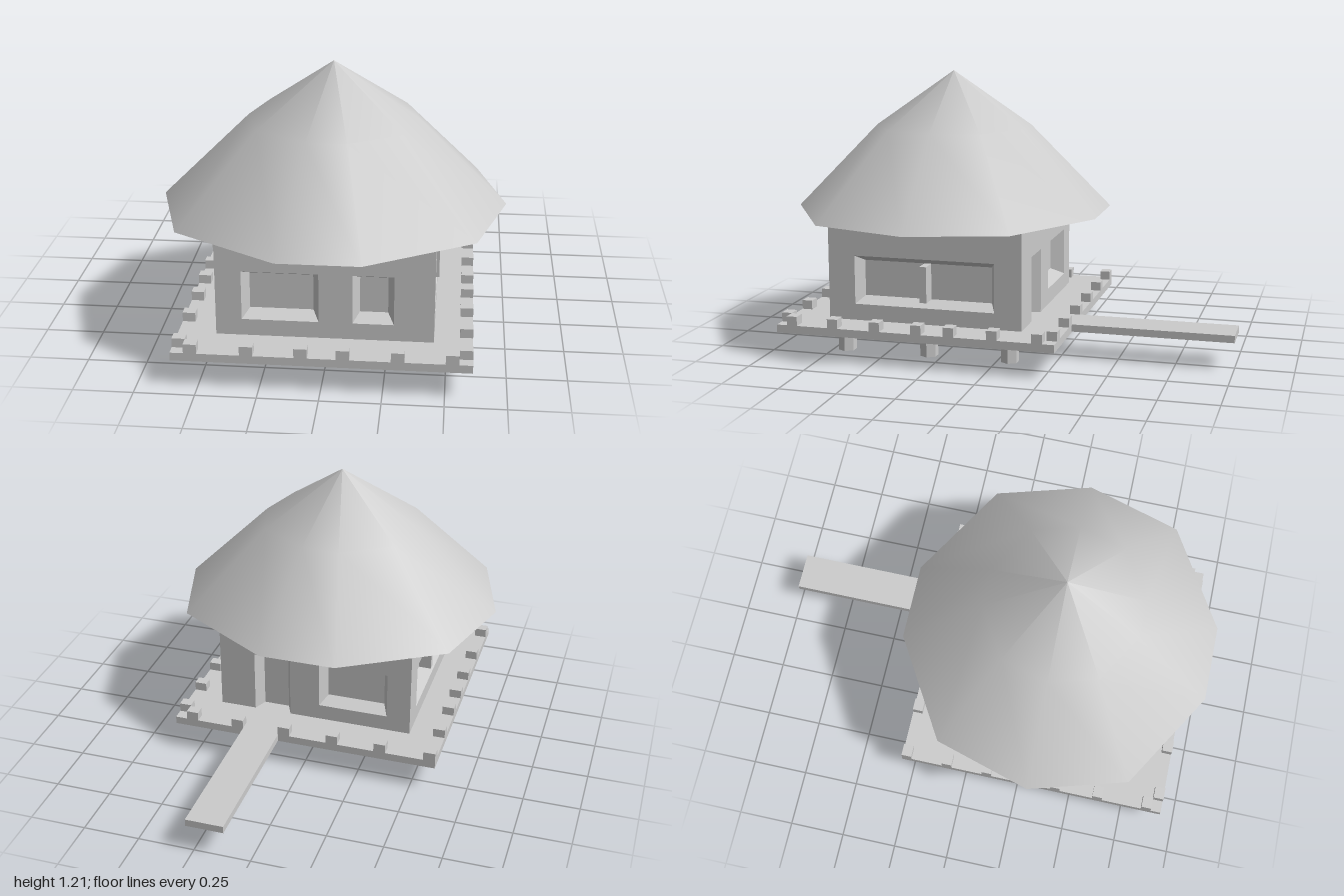
import * as THREE from 'three';

const ZC = 0.313; // centre of the house; the ramp runs out behind it
const EAVES = 0.595, DECK = 0.15;
const material = new THREE.MeshStandardMaterial({ color: 0xcccccc, flatShading: true });
const roofMaterial = new THREE.MeshStandardMaterial({ color: 0xcccccc, side: THREE.DoubleSide });

function add(parent, geometry, name, mat = material) {
  const mesh = new THREE.Mesh(geometry, mat);
  mesh.name = name;
  parent.add(mesh);
  return mesh;
}

// Box given by its lower and upper limits on each axis
function box(parent, name, [x0, x1], [y0, y1], [z0, z1]) {
  const mesh = add(parent, new THREE.BoxGeometry(x1 - x0, y1 - y0, z1 - z0), name);
  mesh.position.set((x0 + x1) / 2, (y0 + y1) / 2, (z0 + z1) / 2);
  return mesh;
}

const corners = ([x0, x1, y0, y1]) => [[x0, y0], [x1, y0], [x1, y1], [x0, y1]];
const toPath = (pts, Type) => new Type(pts.map((p) => new THREE.Vector2(...p)));

// Recess with slanted reveals, closed by a pane at the back
function recess(outer, inner, depth) {
  const o = corners(outer).map((p) => [...p, 0]);
  const n = corners(inner).map((p) => [...p, -depth]);
  const pos = [];
  const quad = (a, b, c, d) => pos.push(...a, ...b, ...c, ...a, ...c, ...d);
  for (let i = 0; i < 4; i++) {
    const j = (i + 1) % 4;
    quad(o[i], o[j], n[j], n[i]);
  }
  quad(...n);
  const g = new THREE.BufferGeometry();
  g.setAttribute('position', new THREE.Float32BufferAttribute(pos, 3));
  g.computeVertexNormals();
  return g;
}

// Wall facing its own +z, with recessed openings [x0, x1, y0, y1]
function wall(parent, name, halfWidth, openings) {
  const group = new THREE.Group();
  group.name = name;
  const shape = toPath(corners([-halfWidth, halfWidth, DECK - 0.01, EAVES + 0.002]), THREE.Shape);
  for (const [x0, x1, y0, y1] of openings) {
    const isDoor = y0 <= DECK;
    shape.holes.push(toPath(corners([x0, x1, y0, y1]).reverse(), THREE.Path));
    const inner = [x0 + 0.027, x1 - 0.027, isDoor ? y0 : y0 + 0.027, y1 - 0.03];
    add(group, recess([x0, x1, y0, y1], inner, 0.06), isDoor ? 'door' : 'window');
  }
  add(group, new THREE.ShapeGeometry(shape), 'wallFace');
  parent.add(group);
  return group;
}

function makeRoof(parent) {
  const roof = new THREE.Group();
  roof.name = 'roof';
  const quarter = [[0.735, 0], [0.61, -0.425], [0.17, -0.687]];
  const half = [...quarter, [-0.17, -0.687], [-0.61, -0.425]];
  const ring = [...half, ...half.map(([x, z]) => [-x, -z])];
  const profile = [[0.735, EAVES], [0.362, 0.965], [0, 1.21]].map((p) => new THREE.Vector2(...p));
  const g = new THREE.LatheGeometry(profile, 10, Math.PI / 2);
  // Pull the regular decagon into the uneven plan of the eaves
  const p = g.attributes.position;
  for (let i = 0; i < p.count; i++) {
    const s = profile[i % 3].x / 0.735;
    const [x, z] = ring[Math.floor(i / 3) % 10];
    p.setX(i, x * s);
    p.setZ(i, z * s);
  }
  add(roof, g, 'thatch', roofMaterial);
  const under = add(roof, new THREE.ShapeGeometry(toPath(ring, THREE.Shape)), 'roofUnderside', roofMaterial);
  under.rotation.x = Math.PI / 2;
  under.position.y = EAVES;
  roof.position.z = ZC;
  parent.add(roof);
}

export function createModel() {
  const model = new THREE.Group();
  model.name = 'stiltHut';

  // Deck and ramp
  box(model, 'deck', [-0.61, 0.61], [0.115, DECK], [-0.3, 0.93]);
  box(model, 'ramp', [0.115, 0.283], [0.118, DECK], [-1, -0.3]);

  // Stilts in a three by three grid
  for (const x of [-0.405, -0.025, 0.4]) {
    for (const z of [0.69, 0.31, -0.055]) {
      const g = new THREE.CylinderGeometry(0.04, 0.04, 0.12, 6).rotateY(Math.PI / 6);
      add(model, g, 'stilt').position.set(x, 0.06, z);
    }
  }

  // Small blocks round the edge of the deck
  const block = (x, z) => box(model, 'edgeBlock',
    [x - 0.027, x + 0.027], [DECK - 0.005, 0.19], [z - 0.023, z + 0.023]);
  for (const x of [-0.528, -0.3, -0.08, 0.09, 0.31, 0.528]) block(x, 0.907);
  for (const x of [-0.583, -0.357, -0.135, 0.09, 0.31, 0.528]) block(x, -0.277);
  for (const z of [0.86, 0.675, 0.485, 0.3, 0.157, -0.032, -0.225]) block(0.583, z);
  for (const z of [0.86, 0.63, 0.43, 0.26, 0.105, -0.085]) block(-0.583, z);

  // Four walls
  const front = wall(model, 'frontWall', 0.45, [[-0.342, -0.024, 0.222, 0.437], [0.115, 0.285, 0.222, 0.437]]);
  front.position.z = 0.75;
  const back = wall(model, 'backWall', 0.45, [[0.024, 0.342, 0.222, 0.437], [-0.285, -0.115, DECK, 0.437]]);
  back.position.z = -0.12;
  back.rotation.y = Math.PI;
  for (const side of [1, -1]) {
    const w = wall(model, side > 0 ? 'leftWall' : 'rightWall', 0.435, [[-0.315, 0.315, 0.222, 0.437]]);
    box(w, 'mullion', [-0.015, 0.015], [0.248, 0.407], [-0.062, side > 0 ? 0.01 : -0.002]);
    w.position.set(side * 0.45, 0, 0.315);
    w.rotation.y = side * Math.PI / 2;
  }

  makeRoof(model);
  return model;
}
